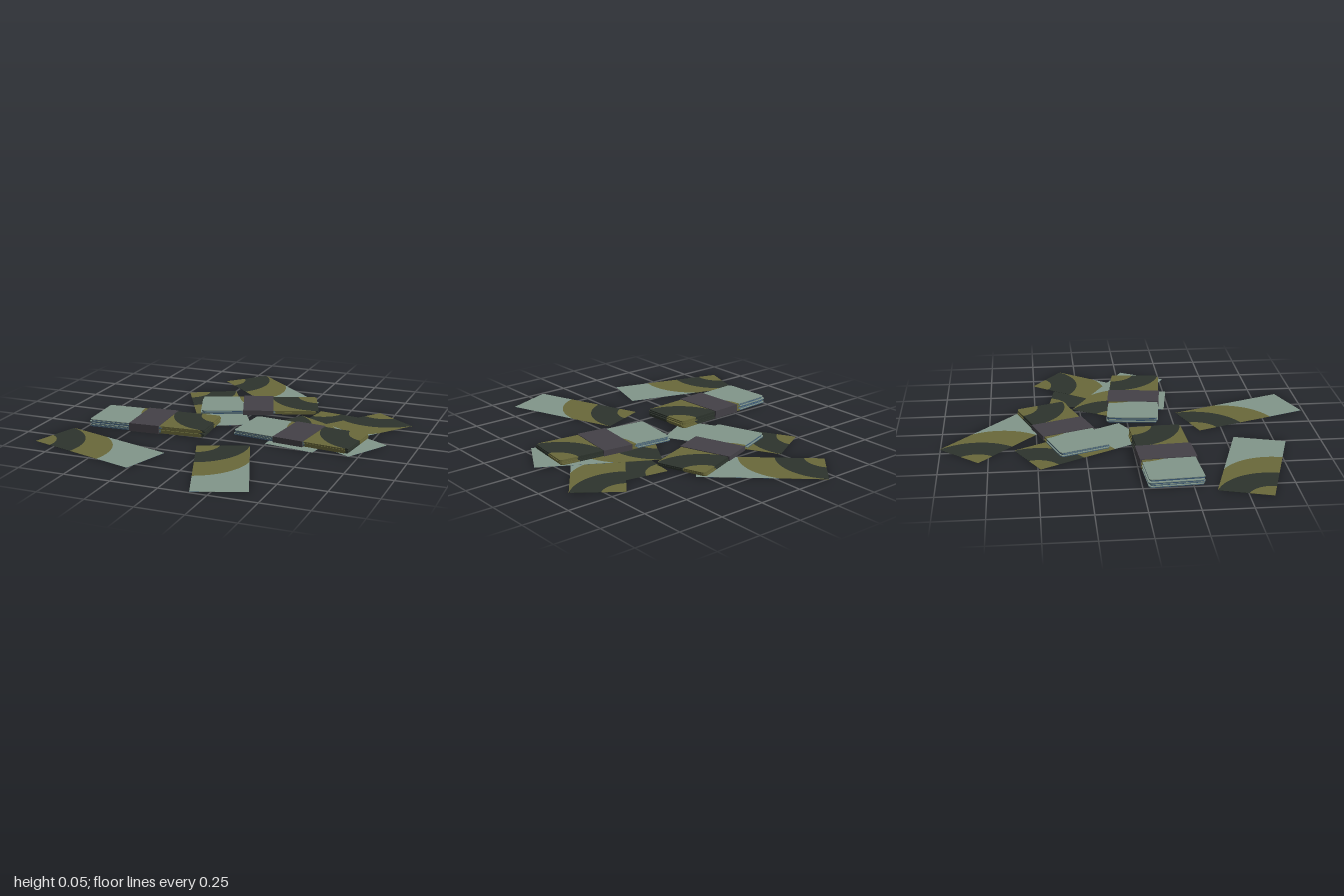
import * as THREE from 'three';

const L = 0.652, W = 0.276;

const paint = (name, color) => {
  const m = new THREE.MeshStandardMaterial({ color });
  m.name = name;
  return m;
};

// right-hand edge of a circular colour zone at width position v
const arc = (cu, cv, r) => (v) => {
  const d = r * r - (cv - v) ** 2;
  return d > 0 ? cu + Math.sqrt(d) : 0;
};
const zoneEdges = [() => 0, arc(-0.03, 0.285, 0.135), arc(-0.03, 0.285, 0.285), arc(0.15, 0.28, 0.295), () => L];

// slab of one colour zone, lying flat, length along x and width along z
function zoneGeometry(k, thickness, corner) {
  const left = [], right = [], N = 48;
  for (let i = 0; i <= N; i++) {
    const v = (i / N) * W;
    const c = Math.max(0, corner - Math.min(v, W - v));
    const inset = corner - Math.sqrt(Math.max(0, corner * corner - c * c));
    const fit = (u) => Math.min(L - inset, Math.max(inset, u));
    const a = fit(zoneEdges[k](v)), b = fit(zoneEdges[k + 1](v));
    if (b - a < 1e-4) continue;
    left.push(new THREE.Vector2(a - L / 2, W / 2 - v));
    right.push(new THREE.Vector2(b - L / 2, W / 2 - v));
  }
  const shape = new THREE.Shape([...left, ...right.reverse()]);
  return new THREE.ExtrudeGeometry(shape, { depth: thickness, bevelEnabled: false }).rotateX(-Math.PI / 2);
}

export function createModel() {
  const teal = paint('pale green paper', 0x82968a);
  const olive = paint('olive print', 0x6a693a);
  const dark = paint('dark green print', 0x2d342d);
  const blue = paint('blue paper back', 0x3f5f7e);
  const grey = paint('grey band', 0x444147);

  // set of zone slabs shared by all sheets of one kind
  function sheetKit(t, corner) {
    const back = zoneGeometry(3, t / 2, corner);
    return [
      ['printCorner', zoneGeometry(0, t, corner), olive],
      ['printDarkArc', zoneGeometry(1, t, corner), dark],
      ['printOliveArc', zoneGeometry(2, t, corner), olive],
      ['paperBack', back, blue],
      ['paperFront', back.clone().translate(0, t / 2, 0), teal],
    ];
  }
  function makeSheet(kit) {
    const g = new THREE.Group();
    g.name = 'sheet';
    for (const [name, geometry, material] of kit) {
      const m = new THREE.Mesh(geometry, material);
      m.name = name;
      g.add(m);
    }
    return g;
  }

  const model = new THREE.Group();
  model.name = 'paperNotes';
  const place = (obj, name, x, y, z, degrees) => {
    obj.name = name;
    obj.position.set(x, y, z);
    obj.rotation.y = -THREE.MathUtils.degToRad(degrees);
    model.add(obj);
  };

  // loose sheets: x, y, z, heading
  const looseKit = sheetKit(0.001, 0);
  [
    [-0.53, 0, 0.583, 16.9],
    [0.17, 0, 0.636, 69.4],
    [-0.049, 0, -0.685, 42],
    [-0.214, 0.0015, -0.267, 61.3],
    [0.43, 0, -0.078, 99],
    [0.582, 0.002, -0.158, 126.4],
    [0.49, 0.004, -0.012, 29.6],
  ].forEach((p, i) => place(makeSheet(looseKit), 'looseNote' + (i + 1), ...p));

  // bundles: sheets with small offsets, wrapped by a band
  const pitch = 0.0068;
  const bundleKit = sheetKit(pitch, 0.014);
  function makeBundle(count) {
    const g = new THREE.Group();
    for (let i = 0; i < count; i++) {
      const s = makeSheet(bundleKit);
      const top = i === count - 1;
      s.position.set(top ? 0 : 0.008 * Math.sin(i * 2.4 + 1), i * pitch, top ? 0 : 0.004 * Math.cos(i * 2.1));
      s.rotation.y = top ? 0 : 0.008 * Math.sin(i * 1.7 + 0.5);
      g.add(s);
    }
    const h = count * pitch + 0.004;
    const band = new THREE.Mesh(new THREE.BoxGeometry(0.17, h, W + 0.016), grey);
    band.name = 'band';
    band.position.set(0.335 - L / 2, h / 2 - 0.001, 0);
    g.add(band);
    return g;
  }
  place(makeBundle(6), 'leftBundle', -0.415, 0.004, 0.15, 176.6);
  place(makeBundle(4), 'rightBundle', 0.387, 0.006, 0.065, -173.1);
  place(makeBundle(3), 'backBundle', 0, 0.004, -0.36, 160);

  return model;
}
